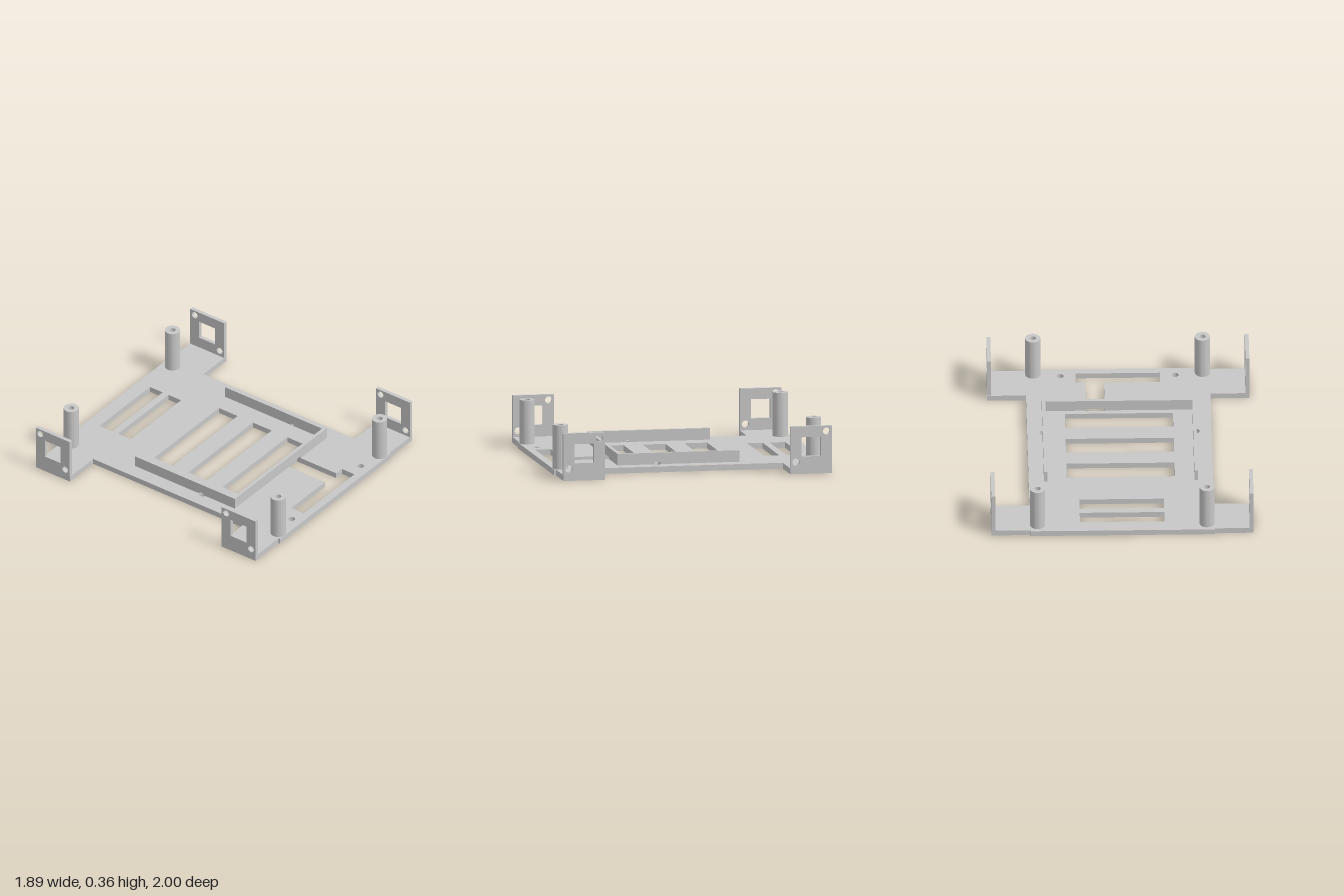
import * as THREE from 'three';
import { toCreasedNormals } from 'three/addons/utils/BufferGeometryUtils.js';

const BASE = 0.042, THIN = 0.025, PANEL = 0.028;

// Closed outline from a list of [x, y] corners
const poly = (pts) => new THREE.Shape(pts.map(([x, y]) => new THREE.Vector2(x, y)));
const rect = (x0, y0, x1, y1) => poly([[x0, y0], [x1, y0], [x1, y1], [x0, y1]]);
const disc = (x, y, r) => new THREE.Shape().absarc(x, y, r, 0, Math.PI * 2);

function extrude(shape, depth, holes = []) {
  shape.holes.push(...holes);
  const geo = new THREE.ExtrudeGeometry(shape, { depth, bevelEnabled: false, curveSegments: 20 });
  return toCreasedNormals(geo, 0.6);
}

// Shape drawn in (x, z), standing from y0 to y0 + h
const flat = (shape, y0, h, holes) =>
  extrude(shape, h, holes).rotateX(Math.PI / 2).translate(0, y0 + h, 0);
// Shape drawn in (z, y), from x1 - t to x1
const upright = (shape, x1, t, holes) =>
  extrude(shape, t, holes).rotateY(-Math.PI / 2).translate(x1, 0, 0);

export function createModel() {
  const group = new THREE.Group();
  const grey = new THREE.MeshStandardMaterial({ color: 0xc7c7c7 });
  grey.name = 'light grey plastic';
  const add = (name, geo) => {
    const mesh = new THREE.Mesh(geo, grey);
    mesh.name = name;
    group.add(mesh);
  };

  // Base plate with four corner arms
  const W = 0.665, A = 0.945, N = 0.681, F = 0.987;
  const rightSide = [[W, -1], [W, -F], [A, -F], [A, -N], [W, -N], [W, N], [A, N], [A, F], [W, F], [W, 1]];
  const outline = poly([...rightSide, ...rightSide.map(([x, z]) => [-x, z]).reverse()]);

  // Slots, cable cut-out and screw holes
  const HX = 0.553, HZ = 0.22, R = 0.025;
  const holes = [[0.305, -0.893, -0.778], [0.305, -0.727, -0.613], [0.39, -0.337, -0.168],
    [0.39, -0.03, 0.138], [0.39, 0.278, 0.447]].map(([w, z0, z1]) => rect(-w, z0, w, z1));
  holes.push(poly([[0.1, 0.478], [0.237, 0.478], [0.237, 0.832], [0.305, 0.832],
    [0.305, 0.945], [-0.305, 0.945], [-0.305, 0.832], [0.1, 0.832]]));
  for (const s of [-1, 1]) holes.push(disc(s * 0.415, 0.917, R), disc(s * HX, HZ, R));
  add('basePlate', flat(outline, 0, BASE, holes));

  // Low tray walls with small openings along the bottom
  const B = BASE, T = 0.126, G = 0.057, z0 = -0.385, z1 = 0.511;
  add('trayFrontWall', extrude(poly([[-0.53, B], [0.1, B], [0.1, G], [0.237, G],
    [0.237, B], [0.53, B], [0.53, T], [-0.53, T]]), THIN).translate(0, 0, z1 - THIN));
  for (const s of [-1, 1]) {
    const wall = poly([[z0, B], [HZ - R, B], [HZ - R, G], [HZ + R, G], [HZ + R, B], [z1, B], [z1, T], [z0, T]]);
    add('traySideWall', upright(wall, s > 0 ? 0.555 : -0.53, THIN));

    // Curved cheeks where the screw hole bites into the wall foot
    for (const d of [-1, 1]) {
      const bite = [[s * 0.53, HZ + d * R]];
      for (let i = 0; i <= 6; i++) {
        const a = THREE.MathUtils.degToRad(156.9 - i * 11.9);
        bite.push([s * (HX + R * Math.cos(a)), HZ + d * R * Math.sin(a)]);
      }
      add('holeCheek', flat(poly(bite), B, G - B));
    }
  }

  for (const s of [-1, 1]) {
    for (const e of [-1, 1]) {
      // Upright mounting panel with window and two diagonal screw holes
      const zc = e * 0.835;
      const cuts = [rect(zc - 0.071, 0.127, zc + 0.071, 0.267),
        disc(zc - 0.112, 0.307, 0.026), disc(zc + 0.112, 0.087, 0.026)];
      const panel = rect(zc - 0.152, BASE, zc + 0.152, 0.346);
      add('mountPanel', upright(panel, s > 0 ? A : -A + PANEL, PANEL, cuts));

      // Hollow standoff post
      const x = s * 0.611, z = e > 0 ? 0.943 : -0.918;
      add('standoffPost', flat(disc(x, z, 0.055), BASE, 0.32, [disc(x, z, 0.022)]));
    }
  }
  return group;
}
